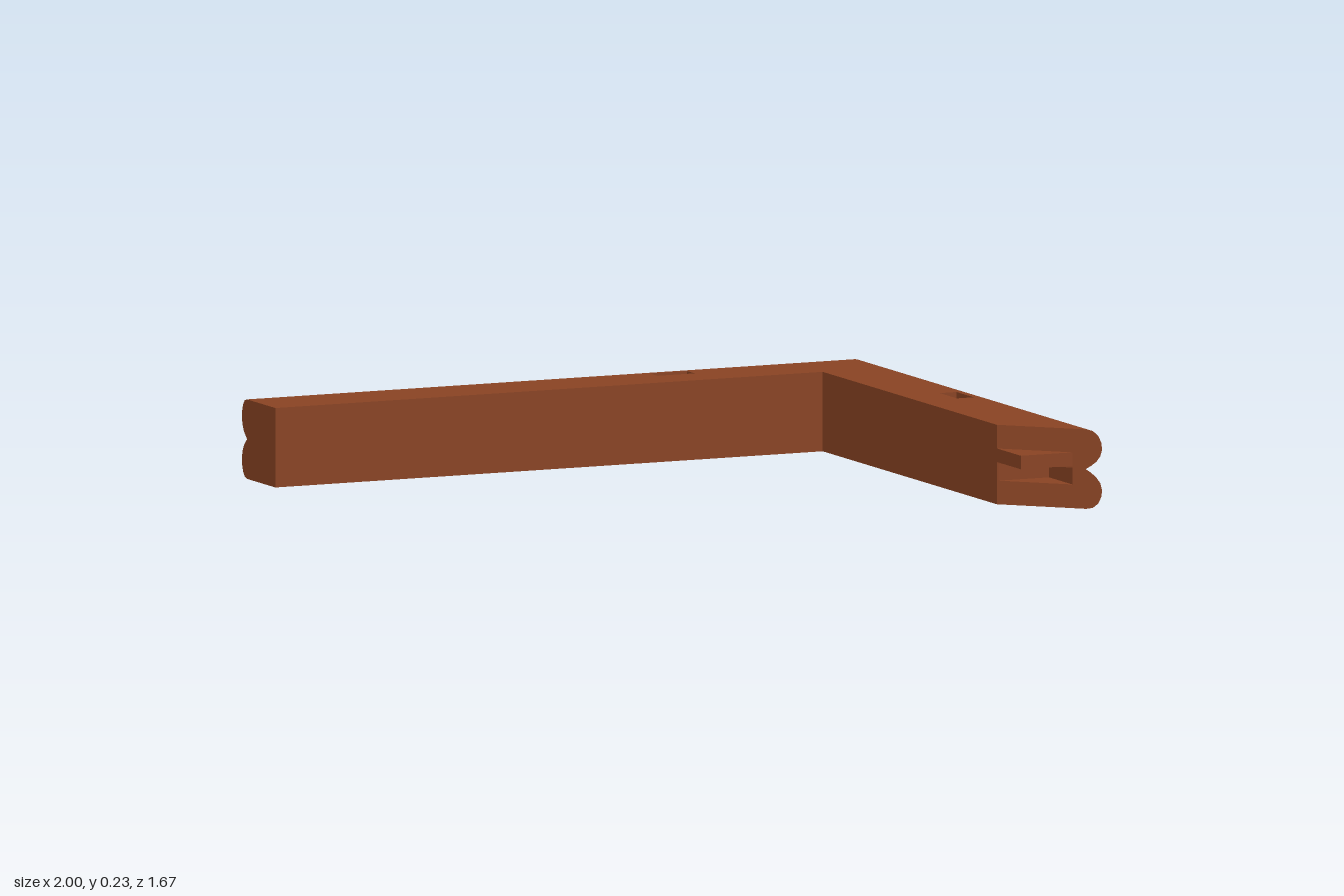
import * as THREE from 'three';

const W = 0.232, H = 0.235, OUT = 0.835, FLAT = 0.035;
const wood = new THREE.MeshStandardMaterial({ color: 0x8b4423 });
wood.name = 'brown wood';

// Half of the outer moulding as [inset, height]; the other half is its mirror
const lower = [[FLAT, 0], [0.02, 0.004], [0.008, 0.018], [0.0015, 0.038], [0, 0.058],
  [0.004, 0.078], [0.013, 0.095], [0.025, 0.108], [0.036, H / 2]];
const upper = lower.map(([d, y]) => [d, H - y]).reverse();

function add(group, name, geometry) {
  const mesh = new THREE.Mesh(geometry, wood);
  mesh.name = name;
  group.add(mesh);
}

const shapeOf = pts => new THREE.Shape(pts.map(([a, b]) => new THREE.Vector2(a, b)));

// Sweep profile points between the two (possibly mitred) ends
function strip(points, u0, u1) {
  const pos = [], idx = [];
  points.forEach(([d, y], i) => {
    pos.push(u0(d), y, d, u1(d), y, d);
    const a = 2 * i;
    if (i < points.length - 1) idx.push(a, a + 2, a + 1, a + 1, a + 2, a + 3);
  });
  const g = new THREE.BufferGeometry();
  g.setAttribute('position', new THREE.Float32BufferAttribute(pos, 3));
  g.setIndex(idx);
  g.computeVertexNormals();
  return g;
}

// Turn a solid inside out and drop the faces that form its mouth
function hollow(solid, isMouth) {
  const p = (solid.index ? solid.toNonIndexed() : solid).attributes.position;
  const pos = [];
  for (let i = 0; i < p.count; i += 3) {
    const [a, b, c] = [0, 1, 2].map(k => new THREE.Vector3().fromBufferAttribute(p, i + k));
    if (![a, b, c].every(isMouth)) for (const v of [a, c, b]) pos.push(v.x, v.y, v.z);
  }
  const g = new THREE.BufferGeometry();
  g.setAttribute('position', new THREE.Float32BufferAttribute(pos, 3));
  g.computeVertexNormals();
  return g;
}

// Horizontal prism from [along, inset] corners
function prism(pts, y, height) {
  const g = new THREE.ExtrudeGeometry(shapeOf(pts.map(([u, d]) => [u, -d])),
    { depth: height, bevelEnabled: false });
  return g.rotateX(-Math.PI / 2).translate(0, y, 0);
}

// Flat top or bottom with slots cut in, plus the slot pockets
function flatFace(group, name, u0, u1, slots, top) {
  const s = top ? -1 : 1, y = top ? H : 0, depth = 0.06;
  const shape = shapeOf([[u0(FLAT), s * FLAT], [u1(FLAT), s * FLAT], [u1(W), s * W], [u0(W), s * W]]);
  for (const [u, d] of slots) {
    const a = u - 0.06, b = u + 0.06, c = s * (d - 0.027), e = s * (d + 0.027);
    shape.holes.push(shapeOf([[a, c], [a, e], [b, e], [b, c]]));
    const box = new THREE.BoxGeometry(0.12, depth, 0.054).translate(u, y + s * depth / 2, d);
    add(group, name + 'Slot', hollow(box, v => Math.abs(v.y - y) < 1e-4));
  }
  add(group, name, new THREE.ShapeGeometry(shape).rotateX(s * Math.PI / 2).translate(0, y, 0));
}

// End face following the cut line u(d)
function endCap(u, flip, hole) {
  const shape = shapeOf([...lower, ...upper.slice(1), [W, H], [W, 0]]);
  if (hole) shape.holes.push(shapeOf(hole));
  const g = new THREE.ShapeGeometry(shape), p = g.attributes.position;
  for (let i = 0; i < p.count; i++) {
    const d = p.getX(i);
    p.setXYZ(i, u(d), p.getY(i), d);
  }
  if (flip) g.setIndex(Array.from(g.index.array).reverse());
  g.computeVertexNormals();
  return g;
}

// Beam along local x, moulded side towards local -z
function beam(name, u0, u1, topSlots, bottomSlots) {
  const g = new THREE.Group();
  g.name = name;
  add(g, 'lowerMoulding', strip(lower, u0, u1));
  add(g, 'upperMoulding', strip(upper, u0, u1));
  add(g, 'innerFace', strip([[W, H], [W, 0]], u0, u1));
  flatFace(g, 'topFace', u0, u1, topSlots, true);
  flatFace(g, 'bottomFace', u0, u1, bottomSlots, false);
  return g;
}

export function createModel() {
  const model = new THREE.Group();
  model.name = 'cornerFrame';

  // Back beam: square left end, mitred corner
  const back = beam('backBeam', () => -1, d => 1 - d,
    [[0.355, 0.075]], [[0.355, 0.075], [0.83, 0.075]]);
  add(back, 'squareEnd', endCap(() => -1, false));
  back.position.z = -OUT;

  // Side beam: mitred at both ends
  const cut = d => OUT - d;
  const side = beam('sideBeam', d => -OUT + d, cut, [[0, 0.08]],
    [-0.655, -0.28, 0.28, 0.655].map(u => [u, 0.08]));
  side.rotation.y = -Math.PI / 2;
  side.position.x = 1;

  // Joint on the free mitre: a tongue above a matching socket
  const near = 0.065, far = W - 0.004, y0 = 0.07, y1 = 0.12;
  add(side, 'mitreEnd', endCap(cut, true, [[near, y0], [far, y0], [far, y1], [near, y1]]));
  add(side, 'tongue', prism([[cut(W), W], [cut(near), near], [cut(near), W]], 0.125, 0.04));
  const socket = prism([[cut(far), far], [cut(near), near], [cut(far), near]], y0, y1 - y0);
  add(side, 'socket', hollow(socket, v => Math.abs(v.x - cut(v.z)) < 1e-4));

  model.add(back, side);
  return model;
}
